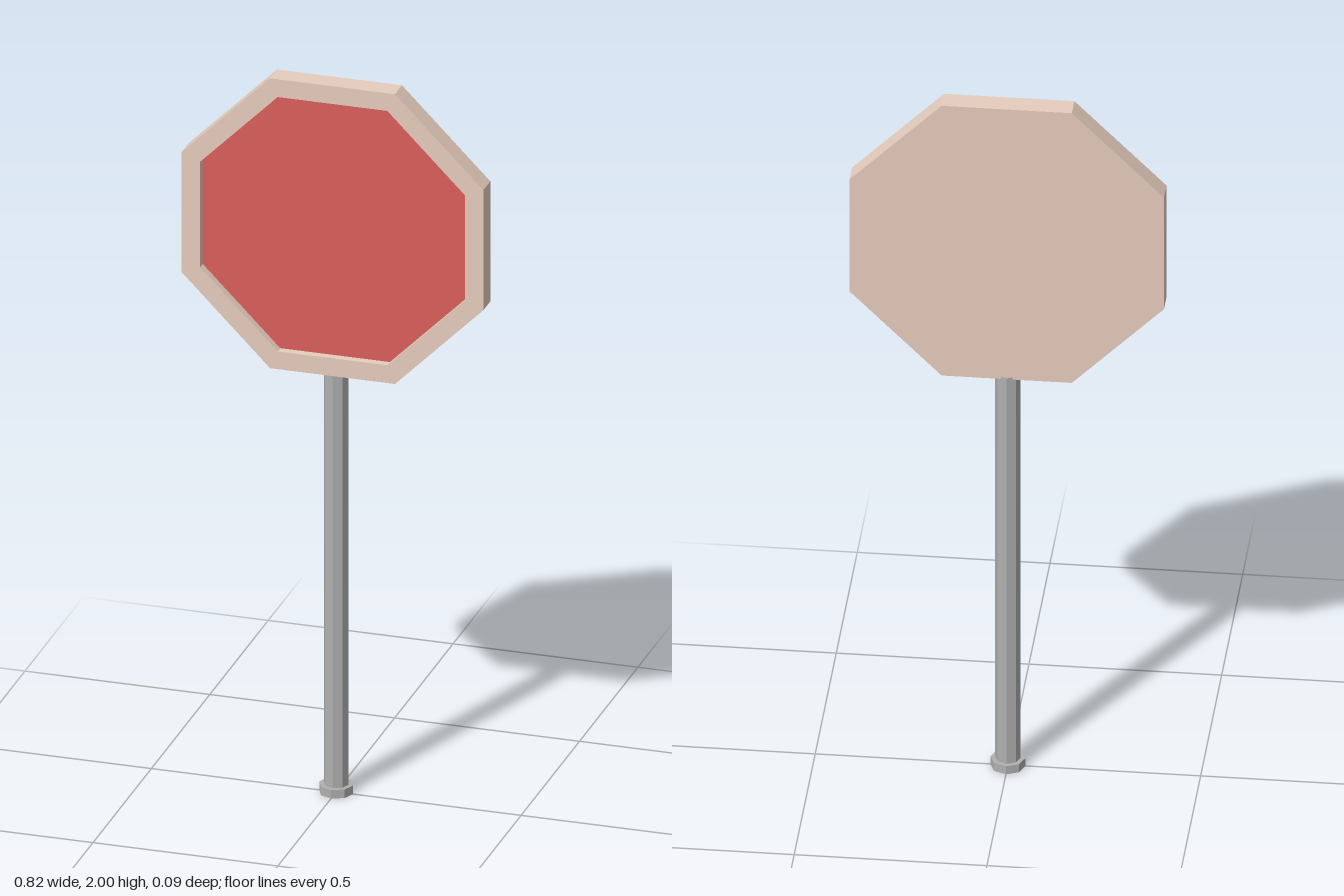
import * as THREE from 'three';

const SIGN_Y = 1.592;
const BACK_Z = -0.028, FLOOR_Z = 0.01, FRONT_Z = 0.032;

// Corners of a flat-topped octagon with the given centre-to-side distance
function octagon(apothem) {
  const r = apothem / Math.cos(Math.PI / 8);
  return Array.from({ length: 8 }, (_, i) => {
    const a = (i + 0.5) * Math.PI / 4;
    return new THREE.Vector2(r * Math.cos(a), r * Math.sin(a));
  });
}

function slab(shape, z0, z1) {
  const g = new THREE.ExtrudeGeometry(shape, { depth: z1 - z0, bevelEnabled: false });
  return g.translate(0, SIGN_Y, z0);
}

export function createModel() {
  const group = new THREE.Group();
  const material = (color) => new THREE.MeshStandardMaterial({ color, flatShading: true });
  const beige = material(0xe6cdbd), red = material(0xdb605b), grey = material(0xb0b0b0);

  const add = (name, geometry, mat) => {
    const mesh = new THREE.Mesh(geometry, mat);
    mesh.name = name;
    group.add(mesh);
  };

  // Octagonal post and its foot, corners facing front and back
  const prism = (r, y0, y1) =>
    new THREE.CylinderGeometry(r, r, y1 - y0, 8).translate(0, (y0 + y1) / 2, -0.001);
  add('post', prism(0.033, 0.02, 1.19), grey);
  add('foot', prism(0.0455, 0, 0.024), grey);

  // Sign board: solid back, raised rim and recessed red face
  const outer = octagon(0.408), inner = octagon(0.358);
  add('signBack', slab(new THREE.Shape(outer), BACK_Z, FLOOR_Z - 0.002), beige);

  const rim = new THREE.Shape(outer);
  rim.holes.push(new THREE.Path(inner));
  add('signRim', slab(rim, FLOOR_Z - 0.002, FRONT_Z), beige);

  const face = new THREE.ShapeGeometry(new THREE.Shape(inner)).translate(0, SIGN_Y, FLOOR_Z);
  add('signFace', face, red);

  return group;
}
